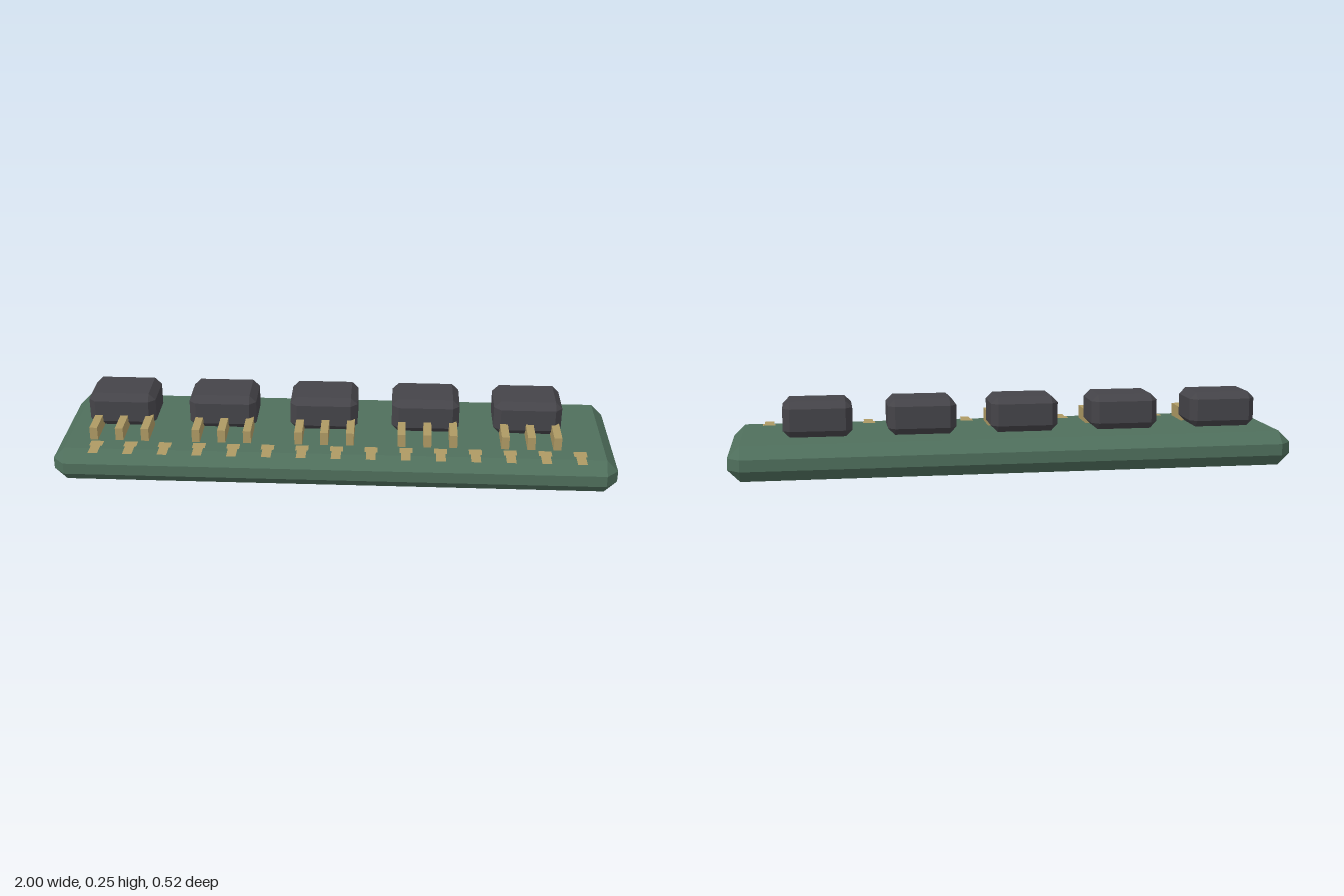
import * as THREE from 'three';
import { ConvexGeometry } from 'three/addons/geometries/ConvexGeometry.js';

// Box with every edge cut by a flat chamfer c
function chamferedBox(w, h, d, c) {
  const pts = [];
  const half = [w / 2, h / 2, d / 2];
  for (const sx of [-1, 1]) for (const sy of [-1, 1]) for (const sz of [-1, 1])
    for (let outer = 0; outer < 3; outer++) {
      const p = half.map((s, i) => (i === outer ? s : s - c));
      pts.push(new THREE.Vector3(sx * p[0], sy * p[1], sz * p[2]));
    }
  return new ConvexGeometry(pts);
}

export function createModel() {
  const model = new THREE.Group();
  const boardGreen = new THREE.MeshStandardMaterial({ color: 0x4f6f5c, flatShading: true });
  const chipBlack = new THREE.MeshStandardMaterial({ color: 0x454449, flatShading: true });
  const contactGold = new THREE.MeshStandardMaterial({ color: 0xae9a64, side: THREE.DoubleSide });

  const add = (parent, name, geometry, material, x, y, z) => {
    const mesh = new THREE.Mesh(geometry, material);
    mesh.name = name;
    mesh.position.set(x, y, z);
    parent.add(mesh);
  };

  // Circuit board
  add(model, 'board', chamferedBox(2, 0.125, 0.517, 0.042), boardGreen, 0, 0.0625, 0);

  // Five chips, each with three leads towards the front edge
  const chipGeo = chamferedBox(0.243, 0.127, 0.184, 0.024);
  const leadGeo = new THREE.BoxGeometry(0.028, 0.048, 0.122);
  for (let i = -2; i <= 2; i++) {
    const unit = new THREE.Group();
    unit.name = 'chipUnit';
    unit.position.x = -0.043 + i * 0.3675;
    add(unit, 'chip', chipGeo, chipBlack, 0, 0.1915, -0.035);
    for (let j = -1; j <= 1; j++)
      add(unit, 'lead', leadGeo, contactGold, 0.007 + j * 0.092, 0.152, 0.096);
    model.add(unit);
  }

  // Fifteen flat stepped edge contacts, overhanging the front chamfer
  const outline = [[-0.023, -0.163], [-0.023, -0.2], [-0.017, -0.2], [-0.017, -0.255],
    [0.017, -0.255], [0.017, -0.2], [0.023, -0.2], [0.023, -0.163]];
  const contactGeo = new THREE.ShapeGeometry(
    new THREE.Shape(outline.map(([x, y]) => new THREE.Vector2(x, y))));
  contactGeo.rotateX(-Math.PI / 2);
  for (let i = -7; i <= 7; i++)
    add(model, 'edgeContact', contactGeo, contactGold, 0.01 + i * 0.1227, 0.127, 0);

  return model;
}
